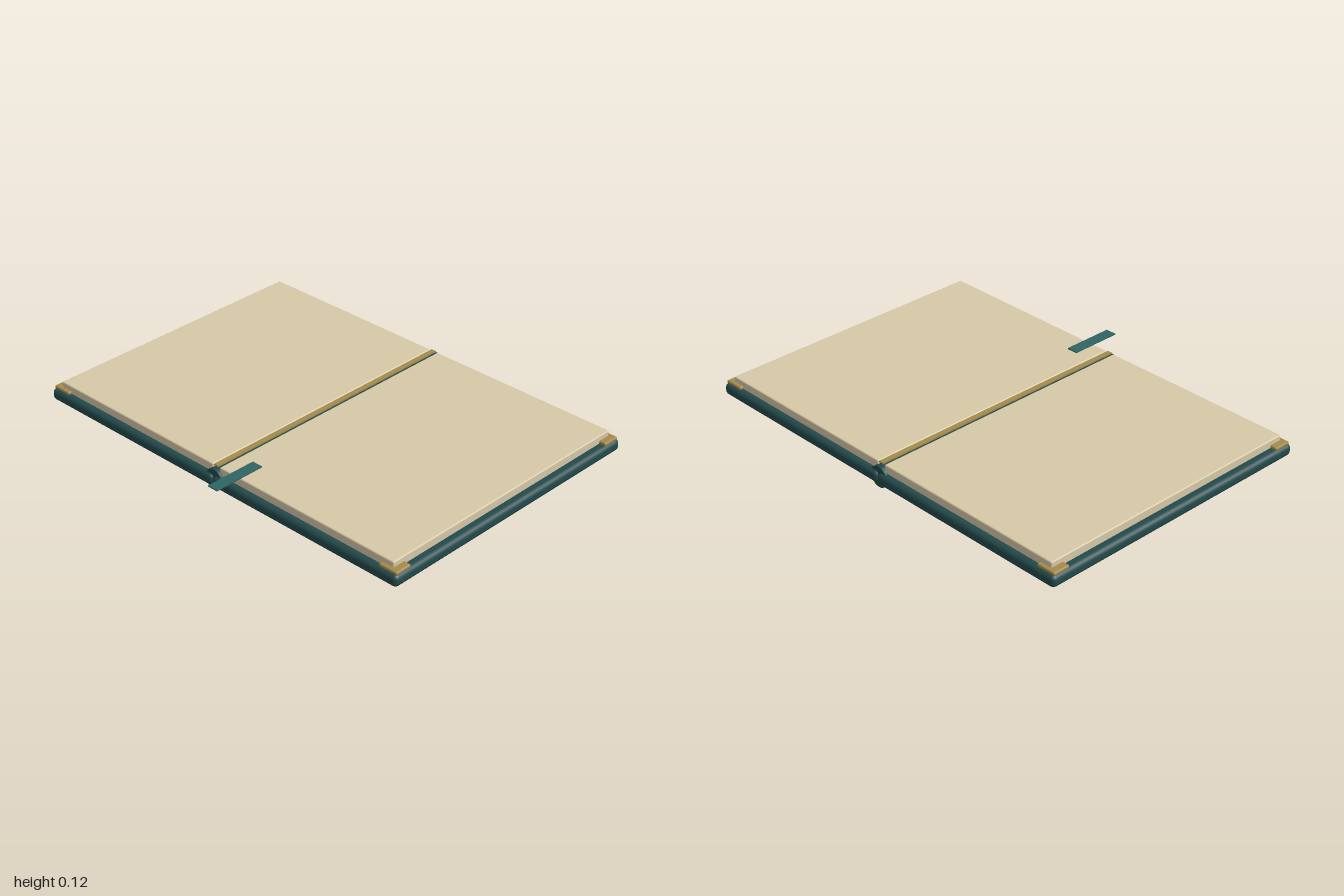
import * as THREE from 'three';
import { RoundedBoxGeometry } from 'three/addons/geometries/RoundedBoxGeometry.js';

const paint = (color) => new THREE.MeshStandardMaterial({ color });
const teal = paint(0x23494b);
const paper = paint(0xd6c9a8);
const brass = paint(0xa58a4c);
const ribbonTeal = paint(0x2f6464);

const Z = -0.05; // middle of the book along its spine

function add(parent, name, geometry, material, x, y, z) {
  const mesh = new THREE.Mesh(geometry, material);
  mesh.name = name;
  mesh.position.set(x, y, z);
  parent.add(mesh);
  return mesh;
}

export function createModel() {
  const book = new THREE.Group();
  book.name = 'openBook';

  // Mirrored halves: cover board, page block and two corner guards each
  for (const side of [-1, 1]) {
    const half = new THREE.Group();
    half.name = side > 0 ? 'leftHalf' : 'rightHalf';
    book.add(half);

    add(half, 'cover', new RoundedBoxGeometry(1, 0.055, 1.37, 4, 0.022), teal, side * 0.5, 0.044, Z);
    add(half, 'pages', new RoundedBoxGeometry(0.94, 0.046, 1.31, 2, 0.006), paper, side * 0.49, 0.085, Z);

    for (const end of [-1, 1]) {
      add(half, 'cornerGuard', new RoundedBoxGeometry(0.092, 0.016, 0.08, 2, 0.006), brass,
        side * 0.946, 0.076, Z + end * 0.632);
    }
  }

  // Round spine with a thin strip in the gutter
  const spine = new THREE.CylinderGeometry(0.048, 0.048, 1.34, 24).rotateX(Math.PI / 2);
  add(book, 'spine', spine, teal, 0, 0.048, Z);
  add(book, 'gutterStrip', new THREE.BoxGeometry(0.024, 0.006, 1.31), brass, 0, 0.108, Z);

  // Flat bookmark ribbon reaching past the front edge
  add(book, 'ribbon', new THREE.BoxGeometry(0.052, 0.005, 0.245), ribbonTeal, 0.118, 0.113, 0.6125);

  return book;
}
